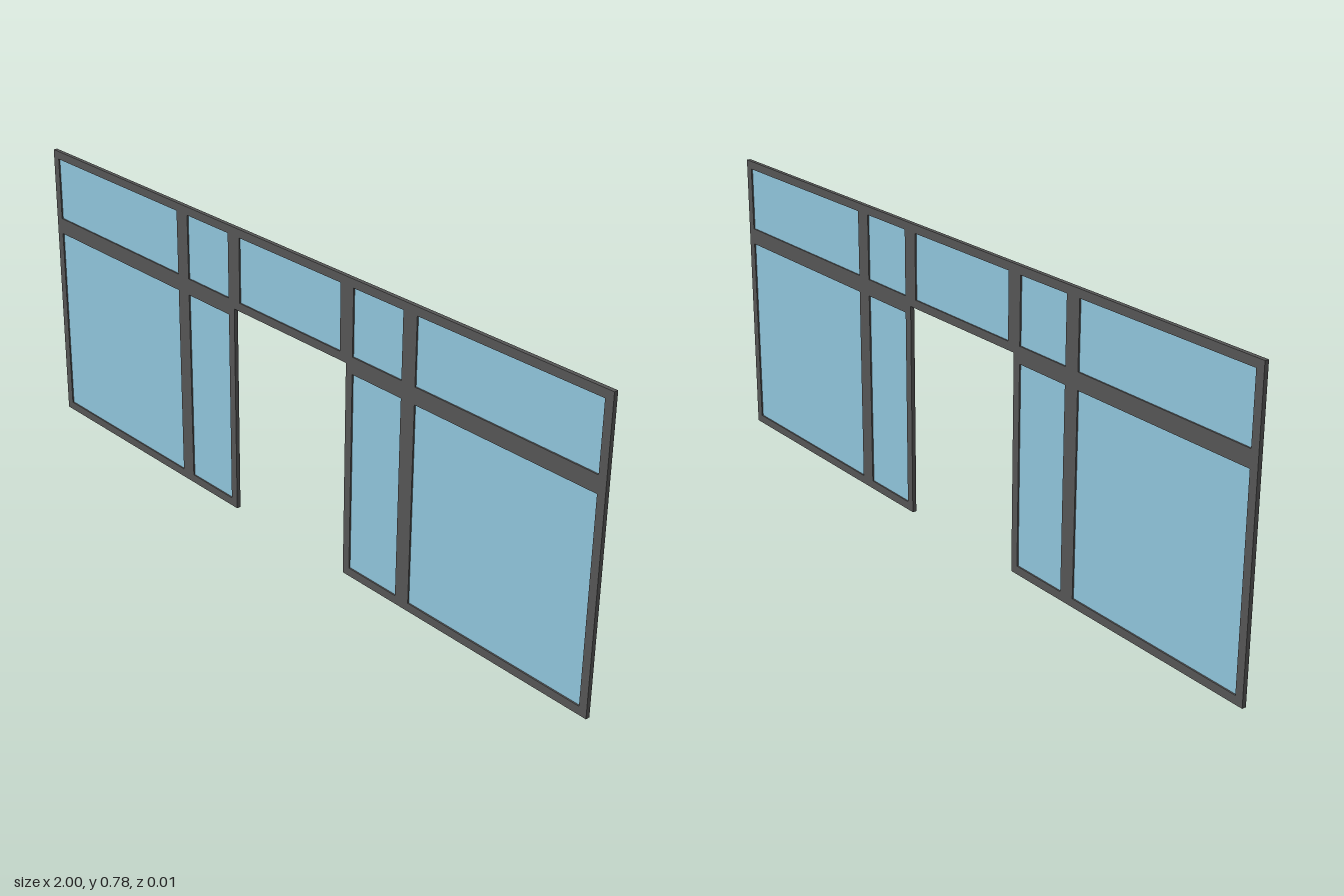
import * as THREE from 'three';

const DEPTH = 0.011, GLASS = 0.003, BORDER = 0.022;
const HEIGHT = 0.782, TRANSOM = 0.566, DOOR = 0.209;
const COLUMNS = [-1, -0.418, -DOOR, DOOR, 0.418, 1];

export function createModel() {
  const model = new THREE.Group();
  model.name = 'glazedPartition';
  const frameMaterial = new THREE.MeshStandardMaterial({ color: 0x555555 });
  const glassMaterial = new THREE.MeshStandardMaterial({ color: 0x8fc4da });

  // Outline of the wall, with the doorway cut out of the bottom
  const outline = new THREE.Shape([
    [-1, 0], [-DOOR, 0], [-DOOR, TRANSOM], [DOOR, TRANSOM],
    [DOOR, 0], [1, 0], [1, HEIGHT], [-1, HEIGHT],
  ].map(([x, y]) => new THREE.Vector2(x, y)));

  // One opening with its glass for each cell of the window grid
  const addPane = (name, left, right, bottom, top) => {
    const x0 = left + BORDER, x1 = right - BORDER;
    const y0 = bottom + BORDER, y1 = top - BORDER;
    outline.holes.push(new THREE.Path([
      new THREE.Vector2(x0, y0), new THREE.Vector2(x0, y1),
      new THREE.Vector2(x1, y1), new THREE.Vector2(x1, y0),
    ]));
    const pane = new THREE.Mesh(new THREE.BoxGeometry(x1 - x0, y1 - y0, GLASS), glassMaterial);
    pane.position.set((x0 + x1) / 2, (y0 + y1) / 2, 0);
    pane.name = name;
    model.add(pane);
  };
  for (let i = 0; i < COLUMNS.length - 1; i++) {
    const [left, right] = [COLUMNS[i], COLUMNS[i + 1]];
    addPane(`upperPane${i + 1}`, left, right, TRANSOM, HEIGHT);
    // The middle column is the doorway
    if (i !== 2) addPane(`lowerPane${i + 1}`, left, right, 0, TRANSOM);
  }

  // Frame bars
  const geometry = new THREE.ExtrudeGeometry(outline, { depth: DEPTH, bevelEnabled: false });
  geometry.translate(0, 0, -DEPTH / 2);
  const frame = new THREE.Mesh(geometry, frameMaterial);
  frame.name = 'frame';
  model.add(frame);

  return model;
}
